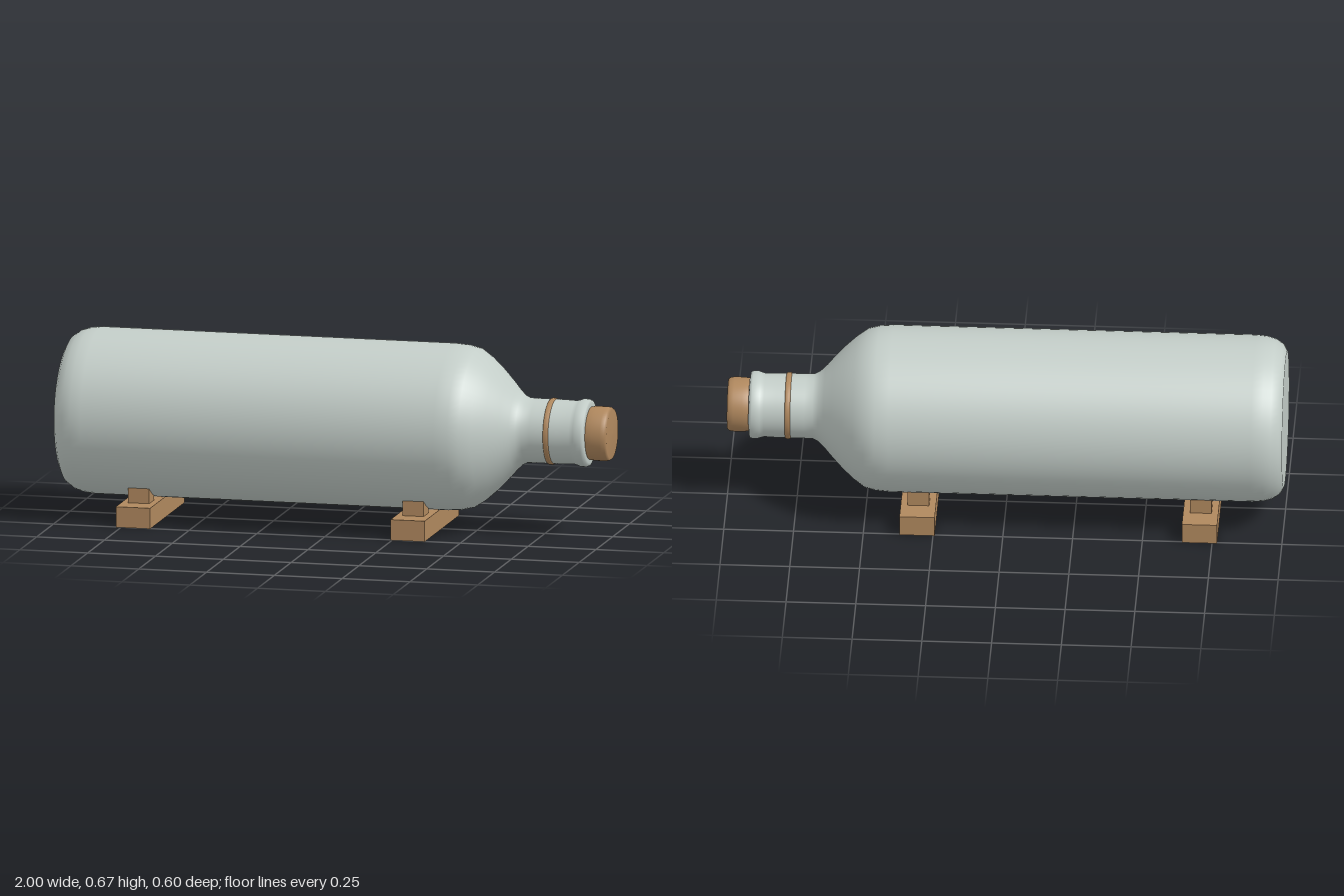
import * as THREE from 'three';
import { toCreasedNormals } from 'three/addons/utils/BufferGeometryUtils.js';

const AXIS_Y = 0.374;

export function createModel() {
  const group = new THREE.Group();
  const glass = new THREE.MeshStandardMaterial({ name: 'pale grey glass', color: 0xc3cdc8 });
  const wood = new THREE.MeshStandardMaterial({ name: 'wood', color: 0xb0885e });

  const add = (name, geometry, material, x, y, z) => {
    const mesh = new THREE.Mesh(geometry, material);
    mesh.name = name;
    mesh.position.set(x, y, z);
    group.add(mesh);
    return mesh;
  };

  // Turns a [radius, x] profile around the bottle's lengthwise axis
  const turned = (name, profile, material, crease) => {
    let geometry = new THREE.LatheGeometry(profile.map(([r, x]) => new THREE.Vector2(r, x)), 64);
    if (crease) geometry = toCreasedNormals(geometry, crease);
    geometry.rotateZ(-Math.PI / 2);
    return add(name, geometry, material, 0, AXIS_Y, 0);
  };

  // Bottle from flat base, over the shoulder, to the mouth
  turned('bottleBase', [[0, -1], [0.245, -1]], glass);
  turned('bottle', [
    [0.245, -1], [0.268, -0.988], [0.287, -0.96], [0.296, -0.93], [0.3, -0.89],
    [0.3, -0.5], [0.3, 0], [0.3, 0.41], [0.296, 0.46], [0.286, 0.5], [0.258, 0.54],
    [0.222, 0.58], [0.18, 0.62], [0.146, 0.65], [0.127, 0.67], [0.117, 0.69],
    [0.116, 0.72], [0.116, 0.82], [0.114, 0.865], [0.118, 0.88], [0.122, 0.89],
    [0.122, 0.908], [0.118, 0.917], [0.108, 0.92], [0.09, 0.92],
  ], glass);

  // Stopper, slightly bulged with a rounded rim
  turned('stopper', [
    [0.09, 0.9], [0.096, 0.925], [0.098, 0.945], [0.098, 0.975],
    [0.096, 0.99], [0.09, 0.998], [0, 1],
  ].map(([r, x]) => [r, x]), wood);

  // Thin band around the neck
  turned('neckBand', [
    [0.113, 0.769], [0.118, 0.771], [0.12, 0.775], [0.12, 0.785], [0.118, 0.789], [0.113, 0.791],
  ], wood);

  // Two cradles: a cross beam with a chock on each side
  for (const x of [-0.705, 0.307]) {
    add('cradleBeam', new THREE.BoxGeometry(0.126, 0.075, 0.512), wood, x, 0.0375, 0);
    for (const side of [-1, 1]) {
      add('cradleChock', new THREE.BoxGeometry(0.078, 0.056, 0.068), wood, x, 0.102, side * 0.139);
    }
  }
  return group;
}
